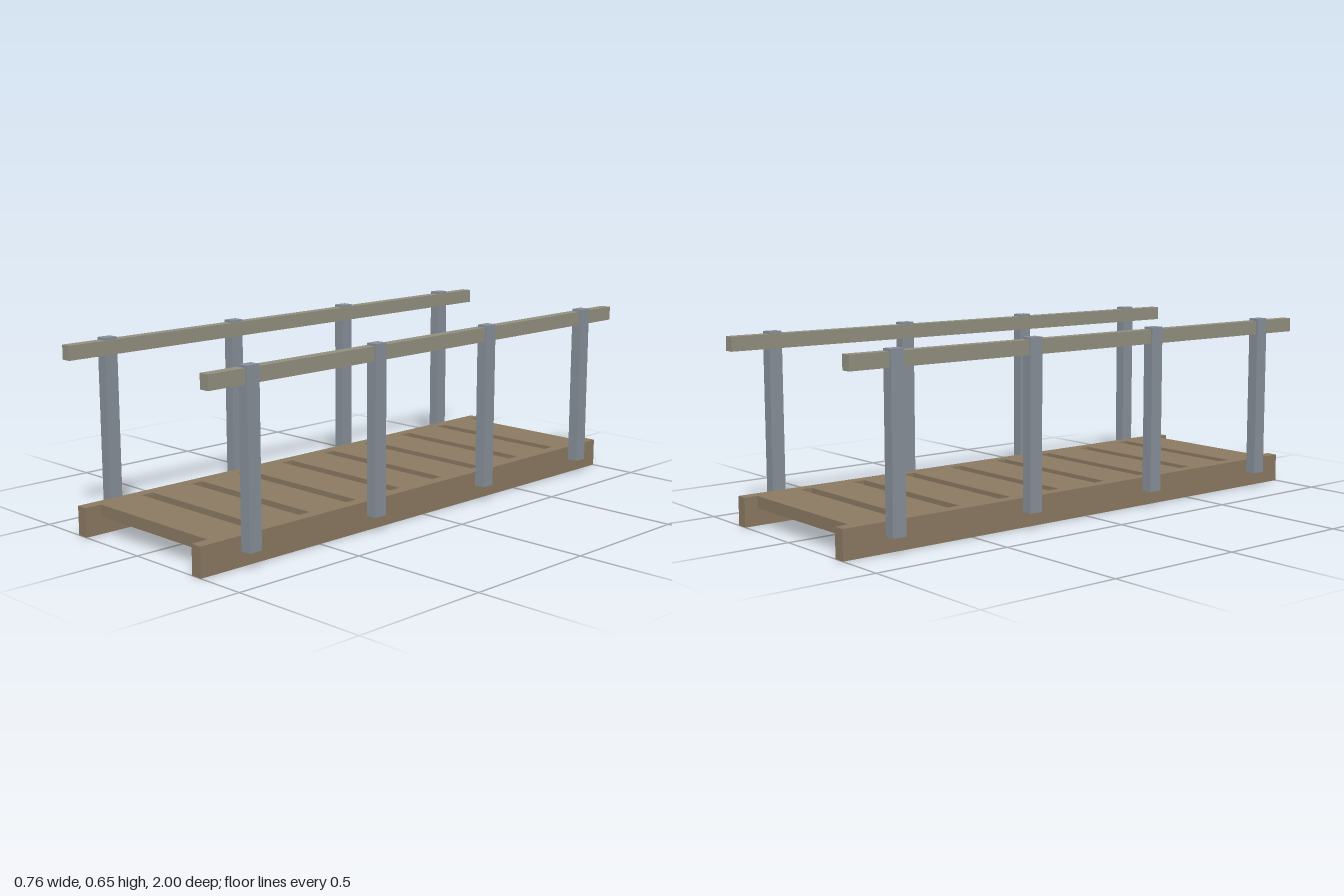
import * as THREE from 'three';

const mat = (name, color) => {
  const m = new THREE.MeshStandardMaterial({ color });
  m.name = name;
  return m;
};

export function createModel() {
  const deckWood = mat('deck wood', 0x8b7962);
  const railWood = mat('weathered rail wood', 0x929080);
  const postGrey = mat('post blue grey', 0x878f99);
  const model = new THREE.Group();
  model.name = 'footbridge';

  // Box given by its minimum and maximum on each axis
  const box = (name, material, [x0, x1], [y0, y1], [z0, z1]) => {
    const mesh = new THREE.Mesh(new THREE.BoxGeometry(x1 - x0, y1 - y0, z1 - z0), material);
    mesh.position.set((x0 + x1) / 2, (y0 + y1) / 2, (z0 + z1) / 2);
    mesh.name = name;
    model.add(mesh);
  };
  const sideSpan = (s, a, b) => (s > 0 ? [a, b] : [-b, -a]);

  // Deck planks, flush with the top of the side beams
  for (let i = 0; i < 9; i++) {
    const z = -0.868 + i * 0.2152;
    box('deckPlank', deckWood, [-0.279, 0.279], [0.06, 0.102], [z - 0.084, z + 0.084]);
  }

  for (const s of [-1, 1]) {
    const side = s > 0 ? 'left' : 'right';
    // Side beam and handrail run the full length
    box(side + 'Beam', deckWood, sideSpan(s, 0.279, 0.321), [0, 0.102], [-1, 1]);
    box(side + 'Handrail', railWood, sideSpan(s, 0.3375, 0.3745), [0.589, 0.639], [-1, 1]);
    // Posts stand just outside the beam and pass through the handrail
    for (const z of [-0.83, -0.278, 0.278, 0.83]) {
      box(side + 'Post', postGrey, sideSpan(s, 0.3415, 0.3815), [0.06, 0.647], [z - 0.025, z + 0.025]);
    }
  }
  return model;
}
